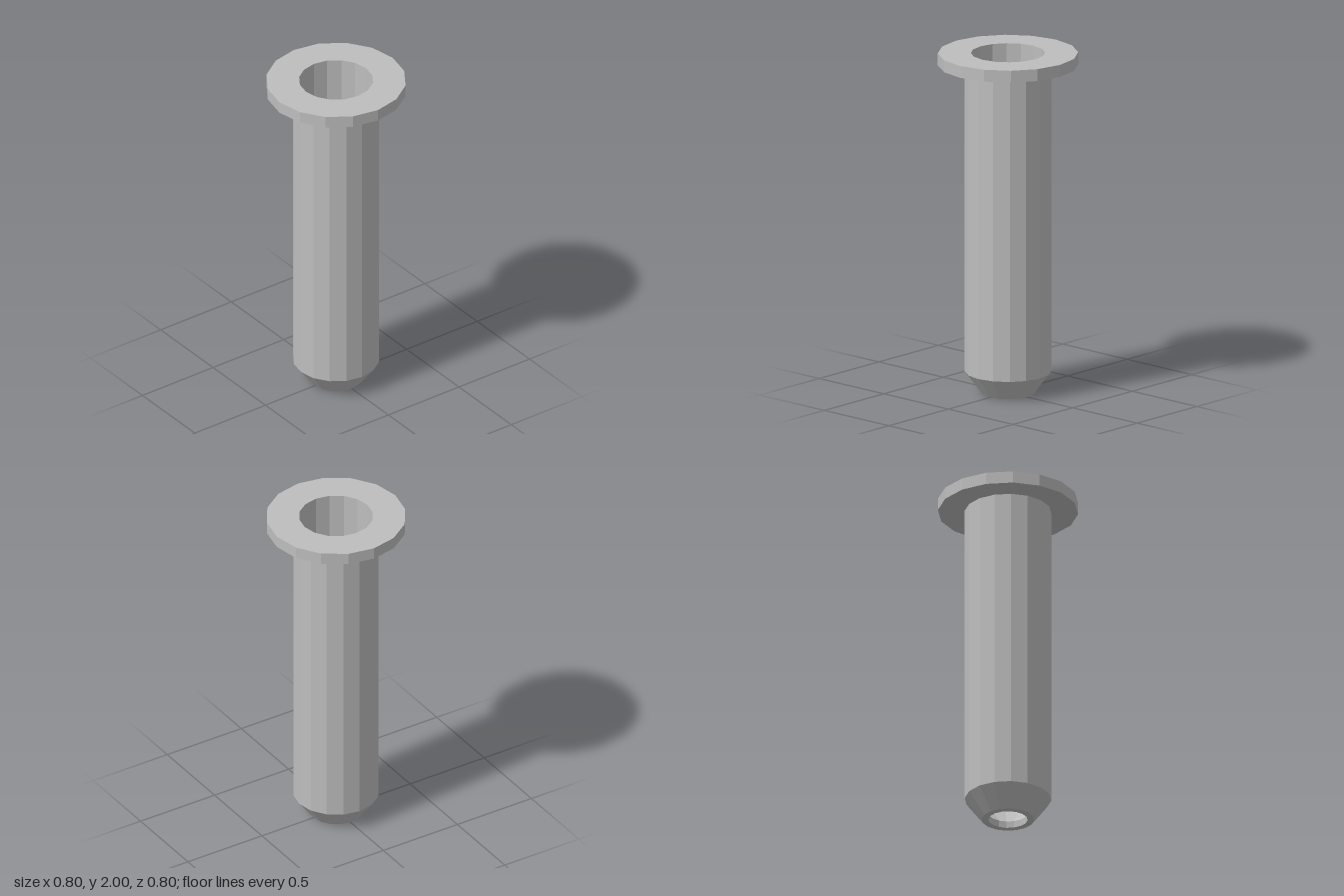
import * as THREE from 'three';

const SIDES = 16;

export function createModel() {
  const group = new THREE.Group();
  group.name = 'flangedSleeve';

  const steel = new THREE.MeshStandardMaterial({ color: 0xbebebe, flatShading: true });
  steel.name = 'grey steel';

  // Turn a [radius, height] profile into a faceted ring
  function turned(name, profile) {
    const points = profile.map(([r, y]) => new THREE.Vector2(r, y));
    const geometry = new THREE.LatheGeometry(points, SIDES).toNonIndexed();
    geometry.computeVertexNormals();
    const mesh = new THREE.Mesh(geometry, steel);
    mesh.name = name;
    group.add(mesh);
  }

  const outer = 0.247, inner = 0.212, hole = 0.112;
  const flangeBottom = 1.93, shoulder = 0.127, lip = 0.04, boreEnd = 0.15;

  // Wide collar at the top
  turned('flange', [[outer, flangeBottom], [0.4, flangeBottom], [0.4, 2], [inner, 2]]);
  // Straight outer wall
  turned('barrel', [[outer, shoulder], [outer, flangeBottom]]);
  // Tapered tip with the small outlet
  turned('nose', [[hole, lip], [hole, 0], [0.15, 0], [outer, shoulder]]);
  // Inner wall, funnelling down to the outlet
  turned('bore', [[inner, 2], [inner, boreEnd], [hole, lip]]);

  return group;
}
